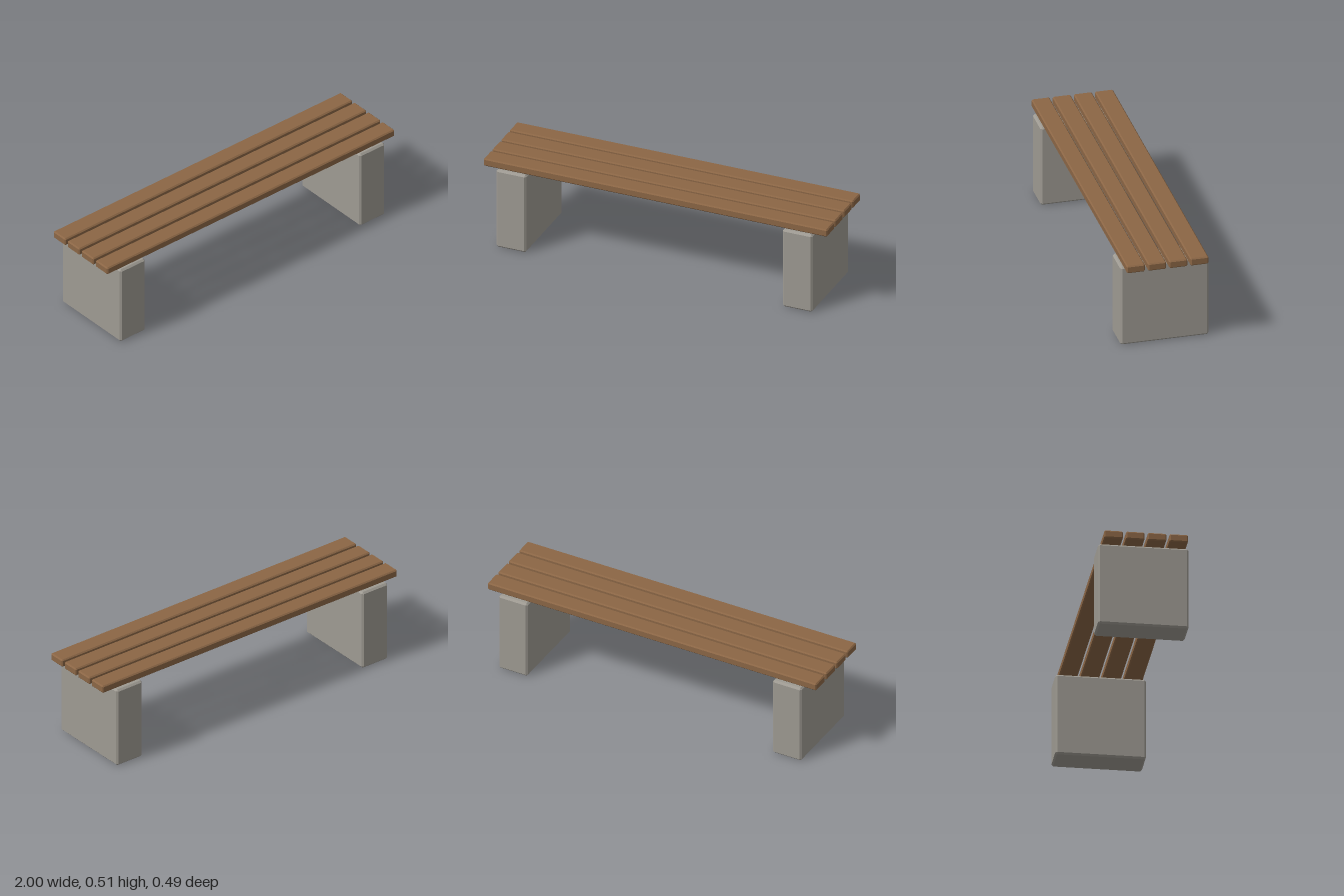
import * as THREE from 'three';
import { ConvexGeometry } from 'three/addons/geometries/ConvexGeometry.js';

// Box with every edge chamfered by b
function chamferedBox(w, h, d, b) {
  const points = [];
  for (const x of [-w / 2, w / 2])
    for (const y of [-h / 2, h / 2])
      for (const z of [-d / 2, d / 2]) {
        const ix = x - Math.sign(x) * b;
        const iy = y - Math.sign(y) * b;
        const iz = z - Math.sign(z) * b;
        points.push(
          new THREE.Vector3(x, iy, iz),
          new THREE.Vector3(ix, y, iz),
          new THREE.Vector3(ix, iy, z)
        );
      }
  return new ConvexGeometry(points);
}

export function createModel() {
  const concrete = new THREE.MeshStandardMaterial({ color: 0x9e9a92 });
  concrete.name = 'concrete grey';
  const wood = new THREE.MeshStandardMaterial({ color: 0x8b6645 });
  wood.name = 'wood brown';

  const bench = new THREE.Group();
  bench.name = 'bench';

  // Two solid block legs
  const legHeight = 0.468;
  const legGeometry = chamferedBox(0.175, legHeight, 0.488, 0.01);
  for (const side of [-1, 1]) {
    const leg = new THREE.Mesh(legGeometry, concrete);
    leg.name = side > 0 ? 'leftLeg' : 'rightLeg';
    leg.position.set(side * 0.833, legHeight / 2, 0);
    bench.add(leg);
  }

  // Four seat slats, set slightly forward on the legs
  const slatHeight = 0.044;
  const slatGeometry = chamferedBox(2, slatHeight, 0.1, 0.0065);
  for (let i = 0; i < 4; i++) {
    const slat = new THREE.Mesh(slatGeometry, wood);
    slat.name = `seatSlat${i + 1}`;
    slat.position.set(0, legHeight + slatHeight / 2, 0.179 - i * 0.117);
    bench.add(slat);
  }

  return bench;
}
